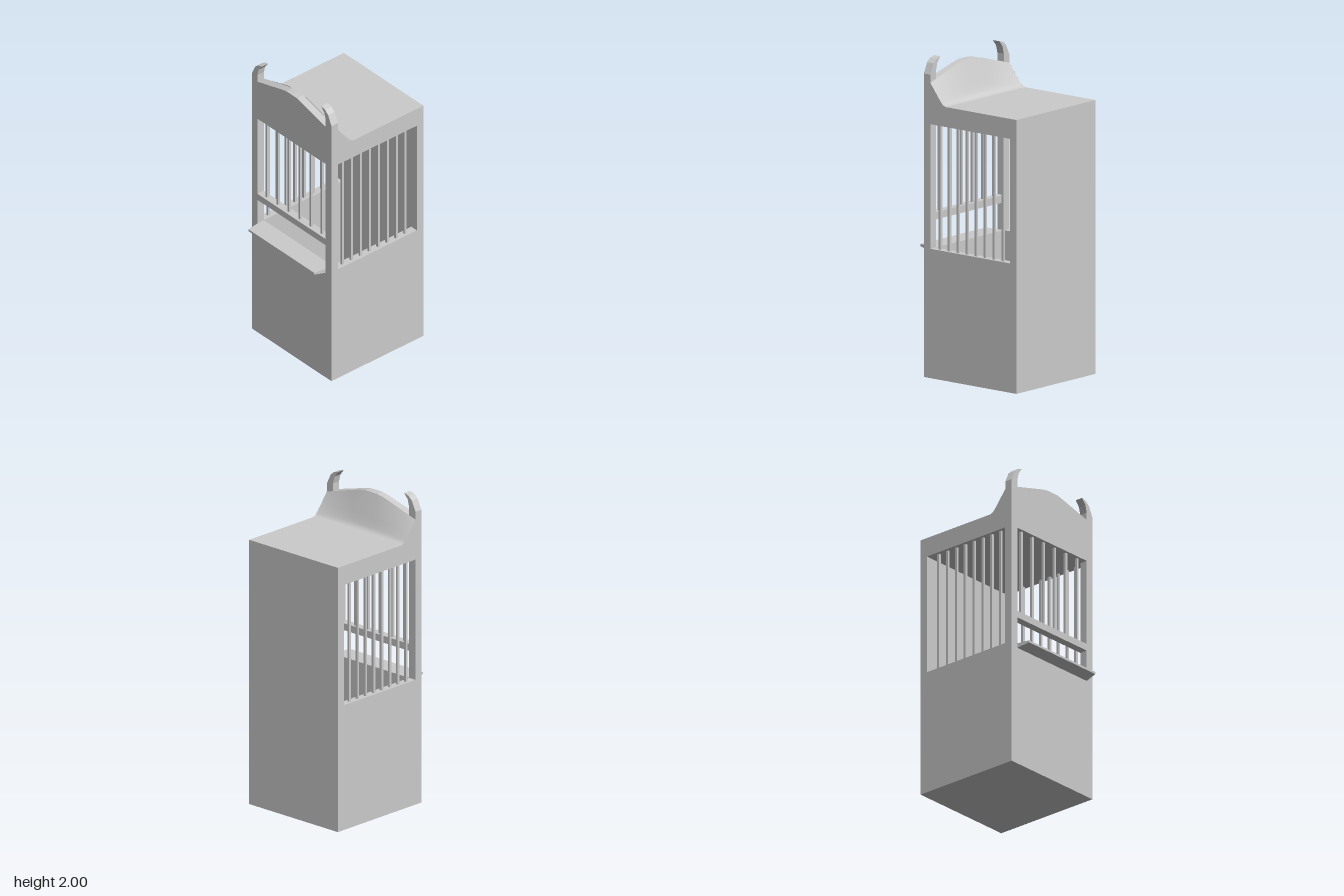
import * as THREE from 'three';

const W = 0.373, BACK = -0.413, FRONT = 0.33, TOP = 1.715, T = 0.052;
const INNER = FRONT - T;
const mat = new THREE.MeshStandardMaterial({ color: 0xcccccc, flatShading: true });
const smoothMat = new THREE.MeshStandardMaterial({ color: 0xcccccc, side: THREE.DoubleSide });

const poly = (pts, C = THREE.Shape) => new C(pts.map(([x, y]) => new THREE.Vector2(x, y)));
const rect = (x0, y0, x1, y1) => [[x0, y0], [x1, y0], [x1, y1], [x0, y1]];

function add(parent, name, geo, material = mat) {
  const mesh = new THREE.Mesh(geo, material);
  mesh.name = name;
  parent.add(mesh);
  return mesh;
}

// Box given by its two opposite corners
function box(parent, name, x0, y0, z0, x1, y1, z1) {
  const geo = new THREE.BoxGeometry(x1 - x0, y1 - y0, z1 - z0);
  geo.translate((x0 + x1) / 2, (y0 + y1) / 2, (z0 + z1) / 2);
  return add(parent, name, geo);
}

// Flat plate with cut-outs, extruded towards +z
function plate(outline, holes, depth) {
  const shape = poly(outline);
  shape.holes = holes.map((h) => poly(h, THREE.Path));
  return new THREE.ExtrudeGeometry(shape, { depth, bevelEnabled: false });
}

// Left half of an outline followed by its mirror image
const mirrored = (half) => [...half, ...half.filter(([x]) => x !== 0).reverse().map(([x, y]) => [-x, y])];

// Height of the arched crest behind the header
function crestHeight(x) {
  const a = Math.abs(x);
  if (a < 0.1) return 1.938 - 0.008 * (a / 0.1) ** 2;
  return 1.93 - (a - 0.1) * 0.295;
}

// Concave roof flare: one smooth sheet swept across x, closed by end caps
function flareGeometry() {
  const columns = 32, rows = 12, pos = [], index = [];
  for (let i = 0; i <= columns; i++) {
    const x = -W + (2 * W * i) / columns;
    const curve = new THREE.CatmullRomCurve3([
      [crestHeight(x), INNER], [1.745 + (crestHeight(x) - 1.745) * 0.48, 0.237],
      [1.745, 0.197], [1.724, 0.178], [TOP, 0.155],
    ].map(([y, z]) => new THREE.Vector3(x, y, z)));
    for (const p of curve.getPoints(rows)) pos.push(p.x, p.y, p.z);
  }
  const n = rows + 1;
  for (let i = 0; i < columns; i++) {
    for (let j = 0; j < rows; j++) {
      const a = i * n + j, b = a + n;
      index.push(a, b, a + 1, b, b + 1, a + 1);
    }
  }
  const geo = new THREE.BufferGeometry();
  geo.setAttribute('position', new THREE.Float32BufferAttribute(pos, 3));
  geo.setIndex(index);
  geo.computeVertexNormals();
  return geo;
}

function flareCap() {
  const pts = [[INNER, TOP], [0.155, TOP], [0.178, 1.724], [0.197, 1.745], [0.237, 1.796], [INNER, crestHeight(W)]];
  const geo = new THREE.ShapeGeometry(poly(pts));
  geo.rotateY(-Math.PI / 2);
  return geo;
}

export function createModel() {
  const model = new THREE.Group();
  model.name = 'booth';

  // Hollow body
  const body = new THREE.Group();
  body.name = 'body';
  model.add(body);
  box(body, 'floor', -W + T, 0, BACK + T, W - T, 0.05, INNER);
  box(body, 'roof', -W + T, 1.59, BACK + T, W - T, TOP, INNER);
  box(body, 'backWall', -W, 0, BACK, W, TOP, BACK + T);
  add(body, 'frontWall', plate(rect(-W, 0, W, TOP),
    [rect(-0.32, 1.03, 0.32, 1.59), rect(-0.32, 0.81, 0.32, 0.985)], T)).position.z = INNER;
  for (const s of [-1, 1]) {
    const geo = plate(rect(-INNER, 0, -BACK - T, TOP), [rect(-INNER + 0.001, 0.81, 0.36, 1.59)], T);
    geo.rotateY(Math.PI / 2);
    add(body, s > 0 ? 'leftWall' : 'rightWall', geo).position.x = s > 0 ? W - T : -W;
  }

  // Window bars
  const bars = new THREE.Group();
  bars.name = 'windowBars';
  model.add(bars);
  const b = 0.008;
  for (let i = 0; i < 6; i++) {
    const x = -0.258 + i * 0.103;
    box(bars, 'frontBar', x - b, 1.03, 0.296, x + b, 1.59, 0.312);
  }
  for (const s of [-1, 1]) {
    for (let i = 0; i < 8; i++) {
      const z = 0.219 - i * 0.072, x = s * (W - T / 2);
      box(bars, 'sideBar', x - b, 0.81, z - b, x + b, 1.59, z + b);
    }
  }

  // Counter ledge, tapering in width and thickness towards its outer edge
  const ledge = box(model, 'counterLedge', -0.32, 0.78, FRONT, 0.32, 0.81, 0.413);
  const p = ledge.geometry.attributes.position;
  for (let i = 0; i < p.count; i++) {
    if (p.getZ(i) < 0.4) continue;
    p.setX(i, Math.sign(p.getX(i)) * 0.307);
    if (p.getY(i) < 0.8) p.setY(i, 0.796);
  }
  ledge.geometry.computeVertexNormals();

  // Arched header with curled horns and a recessed sign panel
  const header = new THREE.Group();
  header.name = 'header';
  model.add(header);
  const outline = mirrored([
    [-W, TOP], [-W, 1.9], [-0.342, 1.966], [-0.314, 1.99], [-0.278, 2], [-0.308, 1.963], [-0.32, 1.915],
    [-0.32, 1.866], [-0.1, 1.926], [-0.05, 1.937], [0, 1.938],
  ]);
  const panel = mirrored([[-0.32, 1.738], [-0.32, 1.828], [-0.1, 1.882], [-0.05, 1.889], [0, 1.89]]);
  add(header, 'headerBack', plate(outline, [], T - 0.015)).position.z = INNER;
  add(header, 'headerFrame', plate(outline, [panel], 0.015)).position.z = FRONT - 0.015;

  // Flared roof sweep behind the header
  const flare = new THREE.Group();
  flare.name = 'roofFlare';
  model.add(flare);
  add(flare, 'flareSurface', flareGeometry(), smoothMat);
  for (const s of [-1, 1]) add(flare, 'flareEnd', flareCap(), smoothMat).position.x = s * W;

  return model;
}
